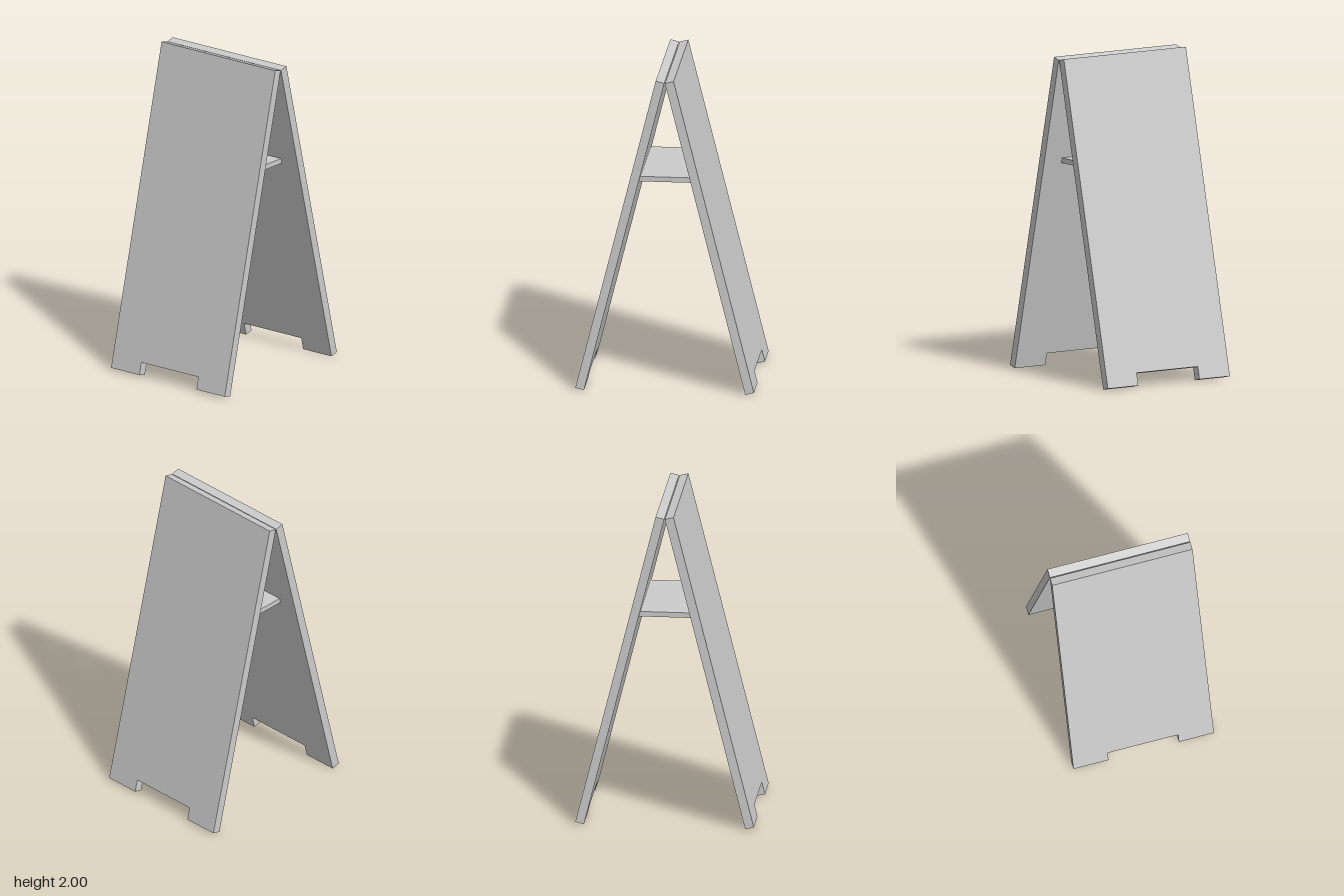
import * as THREE from 'three';

const HALF_WIDTH = 0.448;   // half the panel width
const THICKNESS = 0.055;
const FOOT_Z = 0.499;       // inner bottom edge of each panel
const TOP_Z = 0.002;        // inner top edge of each panel
const TOP_Y = 1.987;

export function createModel() {
  const model = new THREE.Group();
  model.name = 'sandwichBoard';
  const material = new THREE.MeshStandardMaterial({ color: 0xcccccc, flatShading: true });

  // Panel outline with a notch that leaves two feet
  const length = Math.hypot(FOOT_Z - TOP_Z, TOP_Y);
  const notchX = 0.225, notchY = 0.079;
  const outline = new THREE.Shape([
    [-HALF_WIDTH, 0], [-notchX, 0], [-notchX, notchY], [notchX, notchY],
    [notchX, 0], [HALF_WIDTH, 0], [HALF_WIDTH, length], [-HALF_WIDTH, length],
  ].map(([x, y]) => new THREE.Vector2(x, y)));
  const panelGeometry = new THREE.ExtrudeGeometry(outline, { depth: THICKNESS, bevelEnabled: false });

  // Two panels leaning together, the back one turned half round
  const lean = Math.atan2(FOOT_Z - TOP_Z, TOP_Y);
  for (const [name, turn] of [['frontPanel', 0], ['backPanel', Math.PI]]) {
    const side = new THREE.Group();
    side.name = name;
    const panel = new THREE.Mesh(panelGeometry, material);
    panel.name = name + 'Board';
    panel.position.z = FOOT_Z;
    panel.rotation.x = -lean;
    side.add(panel);
    side.rotation.y = turn;
    model.add(side);
  }

  // Spreader shelf between the panels
  const shelf = new THREE.Mesh(new THREE.BoxGeometry(0.64, 0.032, 0.345), material);
  shelf.name = 'spreaderShelf';
  shelf.position.y = 1.33;
  model.add(shelf);

  return model;
}
